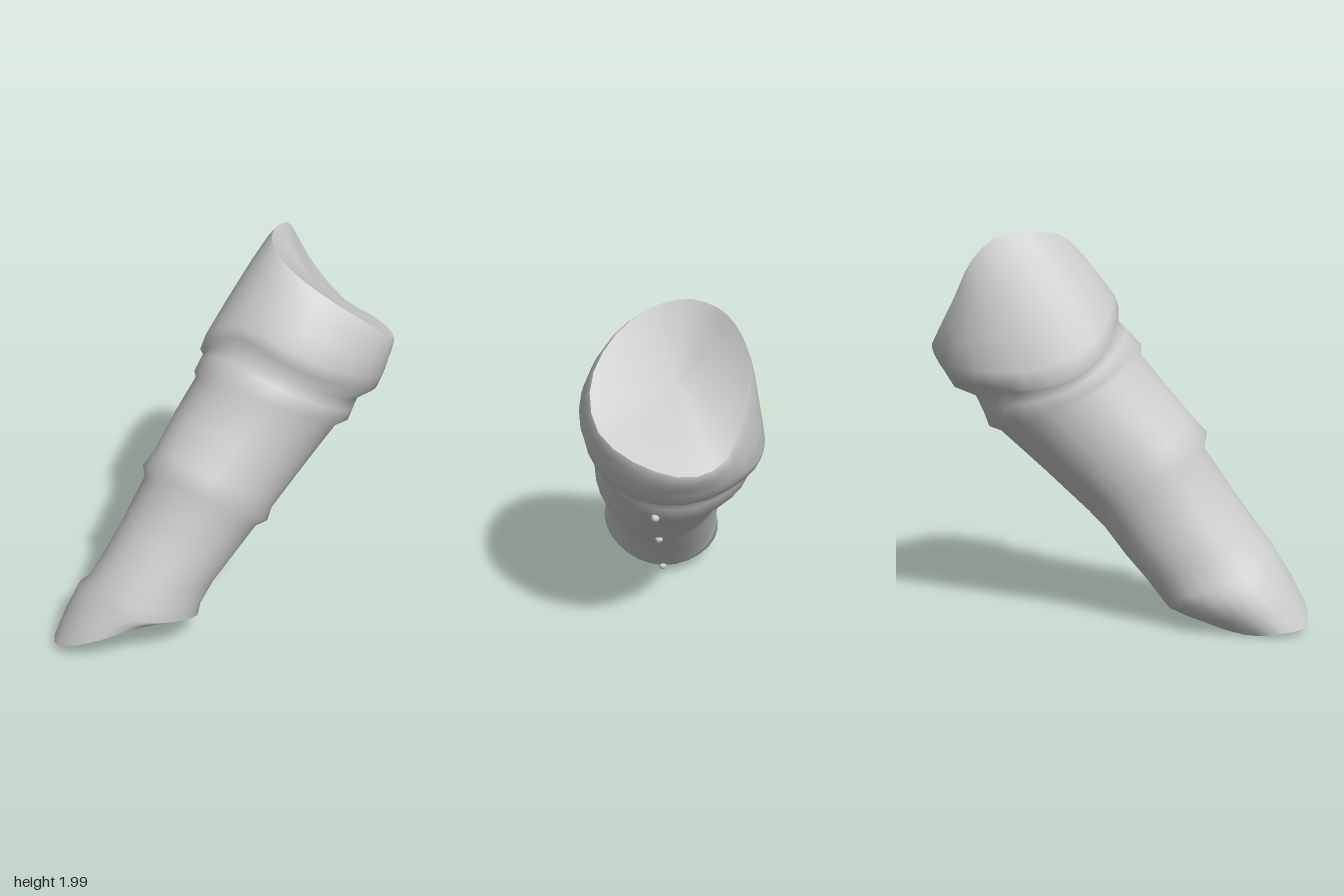
import * as THREE from 'three';

const SIDES = 28;
const V = (x, y, z) => new THREE.Vector3(x, y, z);
const axis = V(0.31, 0.755, -0.58).normalize();
const side = V(0.95, -0.246, 0.189);

// Oval loop from its front [z, y], back [z, y], x range, the tilt of its two
// halves and the extra fullness of its back +x corner.
function ovalPoint(section, angle) {
  const [fz, fy, bz, by, x0, x1, tiltLow, tiltHigh, fullness] = section;
  const c = V((x0 + x1) / 2, (fy + by) / 2, (fz + bz) / 2);
  const cos = Math.cos(angle);
  const tilt = (cos < 0 ? tiltLow : tiltHigh) * Math.abs(cos);
  const across = side.clone().addScaledVector(axis, tilt);
  const offset = across.multiplyScalar((cos * (x1 - x0)) / 2 / across.x);
  offset.add(V(0, (fy - by) / 2, (fz - bz) / 2).multiplyScalar(Math.sin(angle)));
  const corner = Math.max(0, Math.cos(angle + Math.PI / 4)) ** 3;
  return c.addScaledVector(offset, 1 + fullness * corner);
}

const oval = (section) => Array.from({ length: SIDES },
  (_, i) => ovalPoint(section, (i / SIDES) * Math.PI * 2));

// Slanted rim through twelve points, starting at the +x side.
function rimLoop(points) {
  const curve = new THREE.CatmullRomCurve3(points.map((p) => V(...p)), true);
  return Array.from({ length: SIDES }, (_, i) => curve.getPoint(i / SIDES));
}

function centreOf(loop) {
  const c = V(0, 0, 0);
  loop.forEach((p) => c.add(p));
  return c.divideScalar(loop.length);
}

// Blend of two loops, swelled a little about its centre.
function blend(a, b, t, swell) {
  const loop = a.map((p, i) => p.clone().lerp(b[i], t));
  const c = centreOf(loop);
  return loop.map((p) => p.sub(c).multiplyScalar(swell).add(c));
}

// Skin over a stack of loops, ordered along the axis.
function loft(loops) {
  const index = [];
  for (let j = 0; j < loops.length - 1; j++) {
    for (let i = 0; i < SIDES; i++) {
      const k = (i + 1) % SIDES;
      const a = j * SIDES + i, b = j * SIDES + k;
      index.push(a, a + SIDES, b, b, a + SIDES, b + SIDES);
    }
  }
  const g = new THREE.BufferGeometry().setFromPoints(loops.flat());
  g.setIndex(index);
  g.computeVertexNormals();
  return g;
}

// Shallow dished end: the rim shrinks to its sunken centre, flattening onto its own plane.
function dish(rim, depth, isTop) {
  const c = centreOf(rim);
  const normal = V(0, 0, 0);
  rim.forEach((p, i) => {
    const next = rim[(i + 1) % SIDES].clone().sub(c);
    normal.add(next.cross(p.clone().sub(c)));
  });
  normal.normalize();
  const sink = isTop ? -depth : depth;
  const loops = [1, 0.85, 0.65, 0.4, 0.2, 0.001].map((r) => rim.map((p) => {
    const d = p.clone().sub(c);
    const lift = d.dot(normal) * (r * r - r) + sink * (1 - r * r);
    return d.multiplyScalar(r).add(c).addScaledVector(normal, lift);
  }));
  return loft(isTop ? loops : loops.reverse());
}

export function createModel() {
  const model = new THREE.Group();
  const material = new THREE.MeshStandardMaterial({ color: 0xcccccc, side: THREE.DoubleSide });
  const add = (name, geometry) => {
    const mesh = new THREE.Mesh(geometry, material);
    mesh.name = name;
    model.add(mesh);
    return mesh;
  };

  // Front z, front y, back z, back y, min x, max x, tilt at -x, tilt at +x, fullness.
  const lowerRing = [0.80, 0.34, 0.22, 0.09, -0.61, 0.04, 0.25, 0.28, 0];
  const middleRing = [0.47, 0.96, -0.11, 0.53, -0.41, 0.27, 0.15, 0.2, 0.05];
  const upperRing = [0.155, 1.41, -0.63, 1.02, -0.29, 0.49, 0.35, 0.1, 0.13];
  const sections = [
    lowerRing,
    [0.78, 0.39, 0.19, 0.13, -0.56, 0.035, 0.25, 0.28, 0],
    [0.70, 0.50, 0.11, 0.24, -0.51, 0.07, 0.2, 0.25, 0],
    [0.60, 0.65, 0.02, 0.35, -0.46, 0.13, 0.15, 0.2, 0],
    [0.45, 0.885, -0.08, 0.49, -0.40, 0.22, 0.15, 0.2, 0],
    middleRing,
    [0.40, 1.04, -0.15, 0.57, -0.37, 0.275, 0.15, 0.2, 0.03],
    [0.27, 1.20, -0.36, 0.78, -0.33, 0.36, 0.2, 0.15, 0.06],
    [0.15, 1.36, -0.58, 0.99, -0.28, 0.45, 0.3, 0.1, 0.08],
    upperRing,
    [0.09, 1.48, -0.66, 1.09, -0.28, 0.51, 0.45, 0.05, 0.11],
    [0.04, 1.53, -0.70, 1.18, -0.27, 0.52, 0.6, 0, 0.12],
    [0.045, 1.60, -0.80, 1.23, -0.29, 0.585, 0.75, 0, 0.15],
    [0.03, 1.66, -0.85, 1.30, -0.275, 0.615, 0.7, 0, 0.12],
  ].map(oval);

  const topRim = rimLoop([
    [0.66, 1.52, -0.49], [0.60, 1.67, -0.31], [0.42, 1.82, -0.20], [0.22, 1.93, -0.20],
    [0.08, 1.99, -0.30], [0.01, 2.00, -0.45], [0.00, 1.97, -0.63], [0.00, 1.85, -0.75],
    [0.06, 1.68, -0.82], [0.22, 1.45, -0.91], [0.40, 1.40, -0.89], [0.57, 1.43, -0.72],
  ]);
  const bottomRim = rimLoop([
    [-0.01, 0.19, 0.54], [-0.05, 0.23, 0.65], [-0.15, 0.235, 0.77], [-0.30, 0.18, 0.87],
    [-0.45, 0.11, 0.90], [-0.60, 0.04, 0.85], [-0.66, 0.03, 0.71], [-0.60, 0.01, 0.58],
    [-0.45, 0.01, 0.46], [-0.30, 0.035, 0.36], [-0.15, 0.075, 0.33], [-0.04, 0.13, 0.42],
  ]);

  // Sleeve with its bands, from the pointed cuff to the wide cuff.
  const last = sections[sections.length - 1];
  add('sleeve', loft([
    bottomRim,
    blend(bottomRim, sections[0], 0.5, 1.03),
    ...sections,
    blend(last, topRim, 0.35, 1.02),
    blend(last, topRim, 0.7, 1.03),
    blend(last, topRim, 0.92, 1.02),
    topRim,
  ]));

  // Dished ends
  add('topOpening', dish(topRim, 0.05, true));
  add('bottomOpening', dish(bottomRim, 0.08, false));

  // Small knob at the back of each band
  for (const [ring, turn] of [[lowerRing, 0.36], [middleRing, 0.36], [upperRing, 0.28]]) {
    const knob = add('bandKnob', new THREE.SphereGeometry(0.022, 10, 8));
    knob.position.copy(ovalPoint(ring, -Math.PI * turn));
  }
  return model;
}
